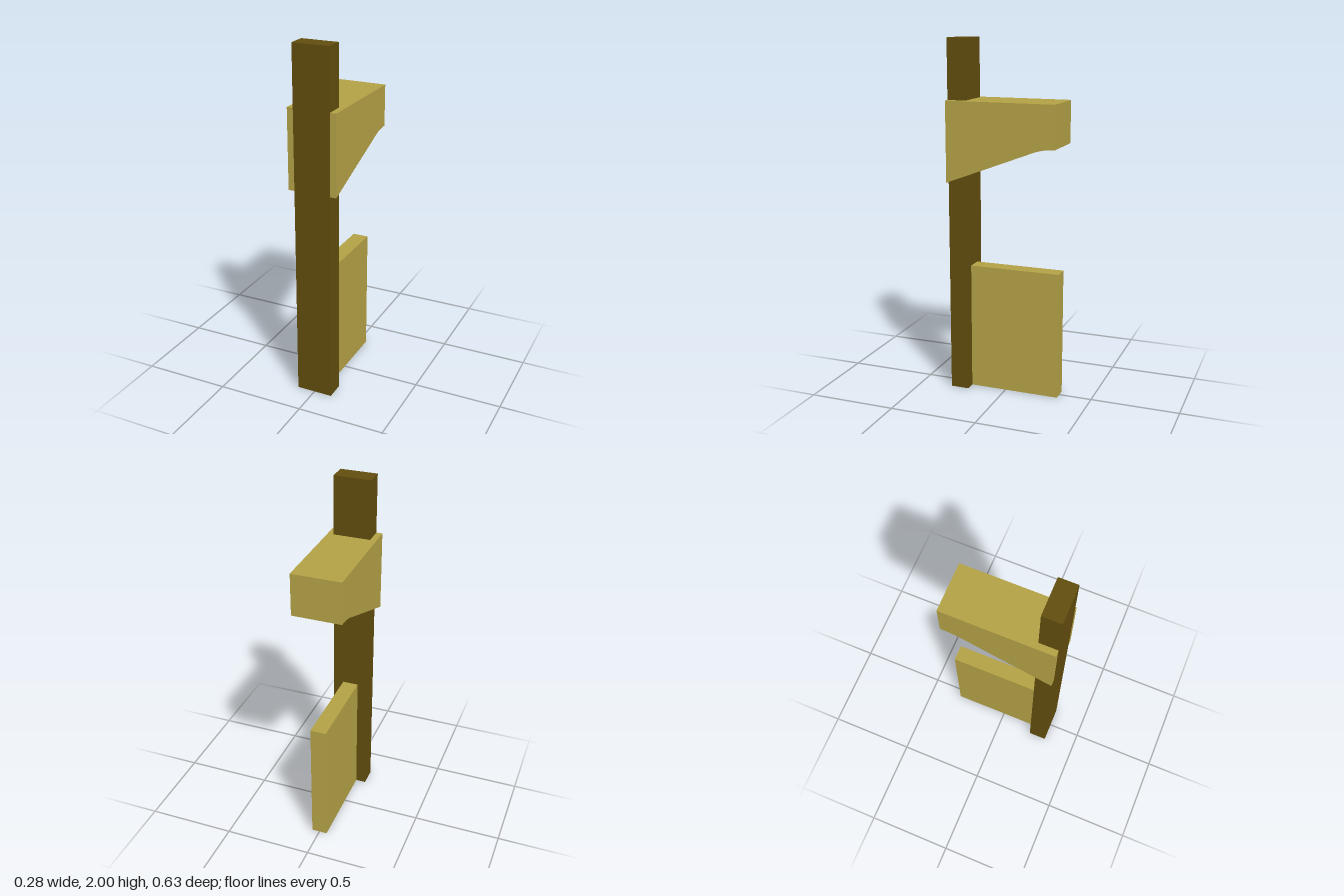
import * as THREE from 'three';

export function createModel() {
  const model = new THREE.Group();
  const darkWood = new THREE.MeshStandardMaterial({ color: 0x614d0d });
  darkWood.name = 'darkWood';
  const lightWood = new THREE.MeshStandardMaterial({ color: 0xb3a146 });
  lightWood.name = 'lightWood';

  const add = (name, geometry, material) => {
    const mesh = new THREE.Mesh(geometry, material);
    mesh.name = name;
    model.add(mesh);
  };
  // Box given by its width and its y and z ranges, centred on x
  const box = (w, y0, y1, z0, z1) =>
    new THREE.BoxGeometry(w, y1 - y0, z1 - z0).translate(0, (y0 + y1) / 2, (z0 + z1) / 2);

  // Tall upright post at the front
  add('post', box(0.208, 0, 2, 0.208, 0.313), darkWood);

  // Thin upright panel behind the foot of the post
  add('lowerPanel', box(0.09, 0, 0.727, -0.313, 0.208), lightWood);

  // Bracket around the post with a concave underside; profile drawn in (z, y)
  const back = -0.313, front = 0.312, top = 1.667, bottom = 1.216, tip = 1.43, heel = 0.02;
  const run = heel - back, rise = tip - bottom;
  const radius = (run * run + rise * rise) / (2 * rise);
  const profile = new THREE.Shape();
  profile.moveTo(back, top);
  profile.lineTo(back, tip);
  profile.absarc(back, tip - radius, radius, Math.PI / 2, Math.asin(run / radius), true);
  profile.lineTo(front, bottom);
  profile.lineTo(front, top);
  profile.closePath();
  const width = 0.278;
  const bracket = new THREE.ExtrudeGeometry(profile, { depth: width, bevelEnabled: false, curveSegments: 32 });
  bracket.translate(0, 0, -width / 2).rotateY(-Math.PI / 2);
  add('bracket', bracket, lightWood);

  return model;
}
